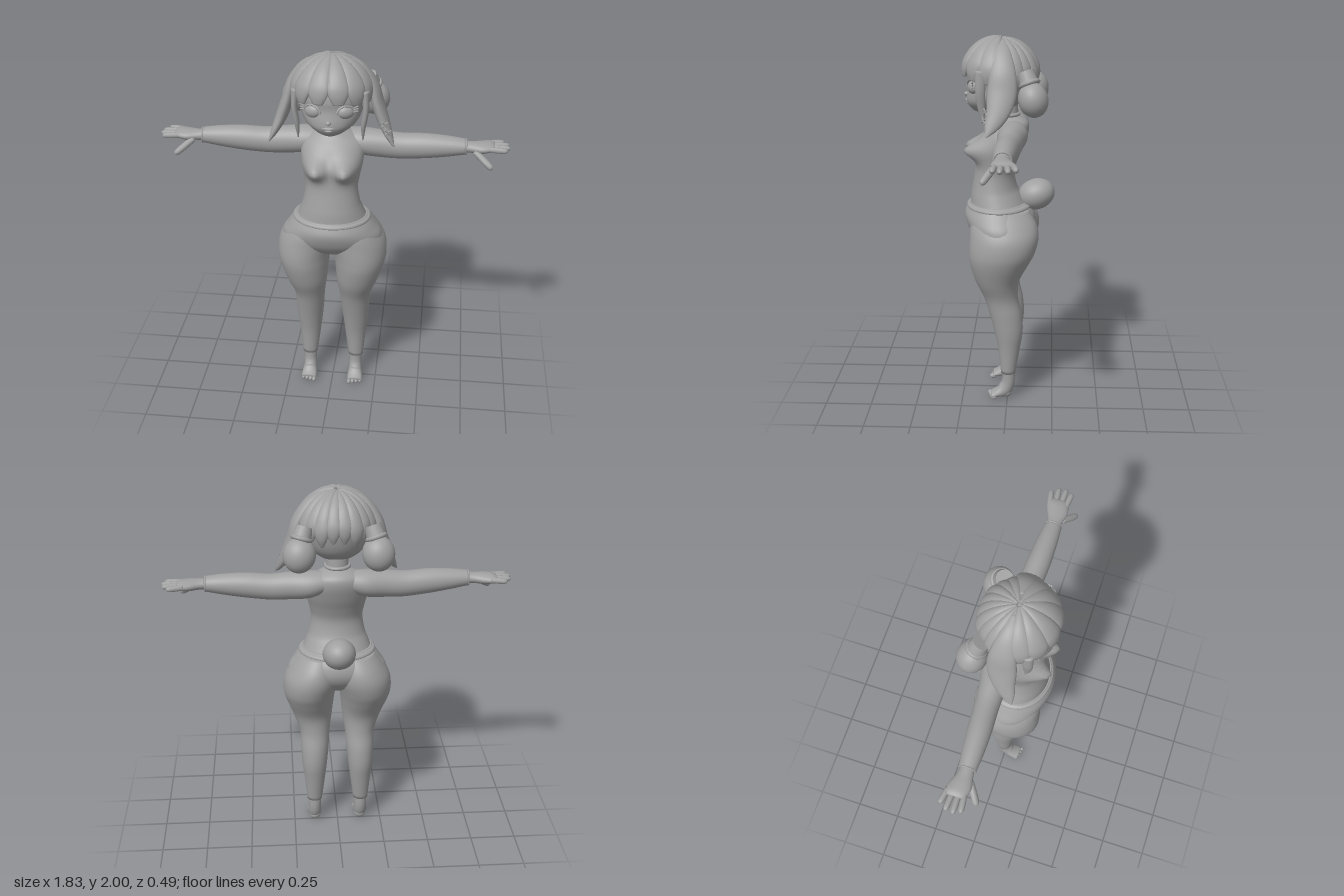
import * as THREE from 'three';

const grey = new THREE.MeshStandardMaterial({ color: 0xa0a0a0 });
grey.name = 'plain grey';
const V = (x, y, z) => new THREE.Vector3(x, y, z);

function add(parent, name, geometry, pos = [0, 0, 0], scale = [1, 1, 1], rot = [0, 0, 0]) {
  const mesh = new THREE.Mesh(geometry, grey);
  mesh.name = name;
  mesh.position.set(...pos);
  mesh.scale.set(...scale);
  mesh.rotation.set(...rot);
  parent.add(mesh);
}
const ball = (parent, name, pos, radii, rot) => add(parent, name, new THREE.SphereGeometry(1, 28, 18), pos, radii, rot);

// Catmull-Rom smoothing of every column in a small table of rows
function spline(rows, steps) {
  const out = [];
  const last = rows.length - 1;
  for (let i = 0; i < last; i++) {
    const [a, b, c, d] = [rows[Math.max(i - 1, 0)], rows[i], rows[i + 1], rows[Math.min(i + 2, last)]];
    for (let k = 0; k < steps; k++) {
      const t = k / steps;
      out.push(b.map((_, j) => {
        const cubic = 3 * (b[j] - c[j]) + d[j] - a[j];
        const square = 2 * a[j] - 5 * b[j] + 4 * c[j] - d[j];
        return b[j] + 0.5 * t * (c[j] - a[j] + t * (square + t * cubic));
      }));
    }
  }
  out.push(rows[last]);
  return out;
}

// Closed skin over elliptical rings { c, u, v }, with u x v pointing along the loft
function loft(rings, n = 32, warp = null) {
  const pos = [], index = [];
  for (const { c, u, v } of rings) {
    for (let j = 0; j < n; j++) {
      const a = j / n * Math.PI * 2;
      const p = c.clone().addScaledVector(u, Math.cos(a)).addScaledVector(v, Math.sin(a));
      if (warp) warp(p, c);
      pos.push(p.x, p.y, p.z);
    }
  }
  const m = rings.length - 1, first = rings.length * n;
  pos.push(...rings[0].c.toArray(), ...rings[m].c.toArray());
  for (let j = 0; j < n; j++) {
    const k = (j + 1) % n;
    for (let i = 0; i < m; i++) {
      const a = i * n + j, b = i * n + k;
      index.push(a, b, a + n, b, b + n, a + n);
    }
    index.push(first, k, j, first + 1, m * n + j, m * n + k);
  }
  const g = new THREE.BufferGeometry();
  g.setAttribute('position', new THREE.Float32BufferAttribute(pos, 3));
  g.setIndex(index);
  g.computeVertexNormals();
  return g;
}

// Upright form from rows [y, xMin, xMax, zBack, zFront]
const upright = (rows, warp) => loft(spline(rows, 5).map(([y, x0, x1, z0, z1]) => ({
  c: V((x0 + x1) / 2, y, (z0 + z1) / 2), u: V((x1 - x0) / 2, 0, 0), v: V(0, 0, (z0 - z1) / 2),
})), 40, warp);
const symmetric = (rows, warp) => upright(rows.map(([y, w, zb, zf]) => [y, -w, w, zb, zf]), warp);

// Sideways form from rows [x, yMin, yMax, zBack, zFront]
const sideways = rows => loft(spline(rows, 5).map(([x, y0, y1, z0, z1]) => ({
  c: V(x, (y0 + y1) / 2, (z0 + z1) / 2), u: V(0, (y1 - y0) / 2, 0), v: V(0, 0, (z1 - z0) / 2),
})));

// Strand along rows [x, y, z, halfWidth, halfThickness], flat across the given direction
function strand(rows, across, n = 14, steps = 5) {
  const s = spline(rows, steps);
  const at = i => V(...s[Math.min(Math.max(i, 0), s.length - 1)].slice(0, 3));
  return loft(s.map((r, i) => {
    const t = at(i + 1).sub(at(i - 1)).normalize();
    const u = across.clone().addScaledVector(t, -across.dot(t)).normalize();
    const v = t.clone().cross(u);
    return { c: at(i), u: u.multiplyScalar(Math.max(r[3], 0.001)), v: v.multiplyScalar(Math.max(r[4], 0.001)) };
  }), n);
}
// Rounded digit between two points
function digit(a, b, r) {
  const rows = [[0, 0.9], [0.4, 1], [0.8, 0.95], [0.95, 0.65], [1, 0.05]].map(([t, k]) =>
    [...V(...a).lerp(V(...b), t).toArray(), r * k, r * k]);
  return strand(rows, V(0, 0.3, 1), 10, 3);
}

// One lock of hair running from the crown down over the skull
function skullLock(azimuth, end, halfWidth, lift, point) {
  const rows = [];
  for (let i = 0; i <= 8; i++) {
    const f = i / 8, phi = 0.06 + f * (end - 0.06), s = Math.sin(phi);
    const taper = f < 0.8 ? 1 : 1 - (f - 0.8) * 5 * point;
    rows.push([(0.19 + lift) * s * Math.sin(azimuth), 1.79 + (0.187 + lift) * Math.cos(phi),
      0.035 + (0.185 + lift) * s * Math.cos(azimuth), halfWidth * (0.12 + 0.88 * s) * taper, 0.024 * (0.5 + 0.5 * s) * taper]);
  }
  return strand(rows, V(Math.cos(azimuth), 0, -Math.sin(azimuth)));
}

function buildSide(side) {
  // Leg, reaching up into the hip
  add(side, 'leg', upright([
    [0.155, 0.09, 0.175, -0.046, 0.035], [0.3, 0.072, 0.188, -0.07, 0.05], [0.4, 0.06, 0.2, -0.085, 0.07],
    [0.5, 0.05, 0.206, -0.08, 0.095], [0.6, 0.042, 0.212, -0.06, 0.125], [0.7, 0.028, 0.247, -0.065, 0.17],
    [0.8, 0.018, 0.283, -0.115, 0.197], [0.87, 0.008, 0.297, -0.15, 0.203], [0.95, -0.012, 0.288, -0.168, 0.2],
    [1.02, -0.01, 0.25, -0.155, 0.195], [1.09, 0, 0.2, -0.11, 0.17]]));
  // Foot with heel and toes
  add(side, 'foot', strand([[0.132, 0.18, -0.006, 0.036, 0.034], [0.132, 0.1, -0.006, 0.035, 0.036],
    [0.132, 0.05, 0.016, 0.038, 0.04], [0.133, 0.03, 0.055, 0.043, 0.025], [0.134, 0.02, 0.088, 0.042, 0.017]], V(1, 0, 0), 20));
  ball(side, 'heel', [0.131, 0.034, 0.006], [0.033, 0.031, 0.032]);
  for (let i = 0; i < 4; i++) ball(side, 'toe', [0.102 + i * 0.021, 0.014, 0.092 - i * 0.006], [0.0115, 0.014, 0.019]);

  // Arm with cuff
  add(side, 'arm', sideways([
    [0.04, 1.47, 1.565, -0.09, 0.03], [0.14, 1.43, 1.572, -0.108, 0.05], [0.25, 1.42, 1.566, -0.09, 0.048],
    [0.35, 1.418, 1.556, -0.08, 0.046], [0.48, 1.43, 1.562, -0.07, 0.052], [0.6, 1.448, 1.556, -0.058, 0.05],
    [0.69, 1.465, 1.545, -0.045, 0.044]]));
  add(side, 'cuff', new THREE.TorusGeometry(0.039, 0.005, 8, 28), [0.688, 1.505, -0.001], [1.08, 1, 1], [0, Math.PI / 2, 0]);
  // Hand
  add(side, 'palm', sideways([
    [0.67, 1.475, 1.535, -0.034, 0.033], [0.72, 1.477, 1.532, -0.042, 0.04], [0.77, 1.475, 1.532, -0.062, 0.05],
    [0.81, 1.482, 1.53, -0.072, 0.044], [0.835, 1.495, 1.522, -0.064, 0.036]]));
  [[-0.056, -0.072, 0.885], [-0.028, -0.036, 0.91], [0, 0.003, 0.915], [0.027, 0.038, 0.9]].forEach(([z0, z1, x]) =>
    add(side, 'finger', digit([0.8, 1.507, z0], [x, 1.505, z1], 0.0155)));
  add(side, 'thumb', digit([0.735, 1.492, 0.03], [0.826, 1.425, 0.092], 0.018));

  // Eye with lid and lashes
  ball(side, 'eye', [0.083, 1.742, 0.178], [0.043, 0.034, 0.027], [0, 0.4, 0]);
  add(side, 'eyelid', new THREE.TorusGeometry(0.046, 0.006, 8, 24, Math.PI), [0.083, 1.74, 0.192], [1, 0.85, 1], [0, 0.45, 0]);
  for (let i = 0; i < 3; i++)
    add(side, 'eyelash', digit([0.122, 1.748 + i * 0.009, 0.178], [0.147, 1.75 + i * 0.014, 0.178], 0.004));

  // Long pointed side lock and the thin lock before the cheek
  add(side, 'sideLock', strand([[0.05, 1.975, 0.03, 0.02, 0.012], [0.135, 1.93, 0.025, 0.045, 0.024],
    [0.2, 1.84, 0.02, 0.066, 0.03], [0.23, 1.74, 0.022, 0.075, 0.032], [0.262, 1.65, 0.04, 0.062, 0.03],
    [0.297, 1.575, 0.075, 0.035, 0.018], [0.322, 1.53, 0.1, 0.003, 0.003]], V(0, 0, 1), 20));
  add(side, 'cheekLock', strand([[0.175, 1.84, 0.13, 0.03, 0.02], [0.18, 1.74, 0.135, 0.026, 0.016],
    [0.168, 1.65, 0.13, 0.02, 0.013], [0.165, 1.57, 0.12, 0.003, 0.003]], V(0, 0, 1)));
  // Tied bun
  add(side, 'hairTie', new THREE.CylinderGeometry(0.044, 0.05, 0.07, 20), [0.18, 1.805, -0.105], [1, 1, 1], [0.35, 0, 0.3]);
  add(side, 'hairTieRim', new THREE.TorusGeometry(0.046, 0.012, 10, 24), [0.188, 1.78, -0.115], [1, 1, 1], [Math.PI / 2 + 0.35, 0.3, 0]);
  ball(side, 'bun', [0.2, 1.7, -0.135], [0.084, 0.091, 0.077], [0.25, 0, 0.15]);

  // Locks of the fringe and of the back
  [15, 44, 72].forEach((a, i) =>
    add(side, 'fringeLock', skullLock(a * Math.PI / 180, 1.54 + i * 0.06, 0.06, 0.012 - i * 0.002, 0.55)));
  [98, 117, 135, 153, 171].forEach((a, i) =>
    add(side, 'backLock', skullLock(a * Math.PI / 180, i % 2 ? 1.86 : 1.74, 0.042, i % 2 ? 0.003 : 0, 0.8)));
}

export function createModel() {
  const model = new THREE.Group();
  model.name = 'figure';

  // Upper body, with a soft swell at the chest
  const swell = (p, c) => {
    if (p.z < c.z) return;
    const dx = (Math.abs(p.x) - 0.08) / 0.052, dy = (p.y - 1.405) / 0.05;
    p.z += 0.085 * Math.exp(-dx * dx - dy * dy) * Math.min(1, (p.z - c.z) / 0.06);
  };
  add(model, 'torso', symmetric([
    [1.07, 0.2, -0.12, 0.205], [1.15, 0.168, -0.075, 0.2], [1.2, 0.151, -0.048, 0.192], [1.28, 0.139, -0.035, 0.178],
    [1.35, 0.149, -0.055, 0.17], [1.42, 0.163, -0.085, 0.158], [1.5, 0.163, -0.11, 0.12],
    [1.55, 0.125, -0.105, 0.075], [1.582, 0.06, -0.06, 0.055]], swell));
  // Hips and waistband
  add(model, 'hips', symmetric([
    [0.865, 0.03, -0.03, 0.06], [0.9, 0.17, -0.085, 0.145], [0.95, 0.262, -0.13, 0.195], [1, 0.267, -0.15, 0.222],
    [1.05, 0.235, -0.146, 0.234], [1.09, 0.207, -0.125, 0.222], [1.115, 0.188, -0.105, 0.208]]));
  add(model, 'waistband', symmetric([
    [1.085, 0.2, -0.12, 0.212], [1.092, 0.209, -0.128, 0.222], [1.104, 0.205, -0.123, 0.22], [1.112, 0.188, -0.105, 0.206]]));
  ball(model, 'tail', [0, 1.15, -0.152], [0.088, 0.083, 0.102], [0.35, 0, 0]);

  // Neck and collar
  add(model, 'neck', new THREE.CylinderGeometry(0.055, 0.062, 0.14, 28), [0, 1.61, 0.005]);
  add(model, 'collar', new THREE.TorusGeometry(0.062, 0.01, 10, 36), [0, 1.59, 0.005], [1, 1, 1], [Math.PI / 2, 0, 0]);

  // Head and face
  add(model, 'head', symmetric([
    [1.598, 0.02, 0.06, 0.15], [1.612, 0.068, 0, 0.185], [1.65, 0.122, -0.065, 0.214], [1.69, 0.15, -0.105, 0.216],
    [1.75, 0.166, -0.13, 0.205], [1.82, 0.174, -0.138, 0.208], [1.89, 0.15, -0.105, 0.18], [1.94, 0.09, -0.05, 0.12],
    [1.96, 0.02, 0.02, 0.05]]));
  ball(model, 'nose', [0, 1.695, 0.216], [0.014, 0.011, 0.016]);
  ball(model, 'upperLip', [0, 1.664, 0.212], [0.032, 0.008, 0.014]);
  ball(model, 'lowerLip', [0, 1.65, 0.208], [0.022, 0.007, 0.013]);

  // Hair cap beneath the locks
  add(model, 'hairCap', new THREE.SphereGeometry(1, 36, 18, 0, Math.PI * 2, 0, Math.PI / 2), [0, 1.79, 0.035], [0.186, 0.188, 0.183]);

  // Paired parts
  for (const s of [1, -1]) {
    const side = new THREE.Group();
    side.name = s > 0 ? 'leftSide' : 'rightSide';
    side.scale.x = s;
    buildSide(side);
    model.add(side);
  }

  // Crossed pins on the left side lock
  for (const [x, y] of [[0.272, 1.65], [0.29, 1.61]])
    for (const tilt of [0.5, -0.9])
      add(model, 'hairPin', new THREE.BoxGeometry(0.045, 0.007, 0.007), [x, y, 0.105 + (1.65 - y) * 0.2], [1, 1, 1], [0, 0.6, tilt]);

  return model;
}
